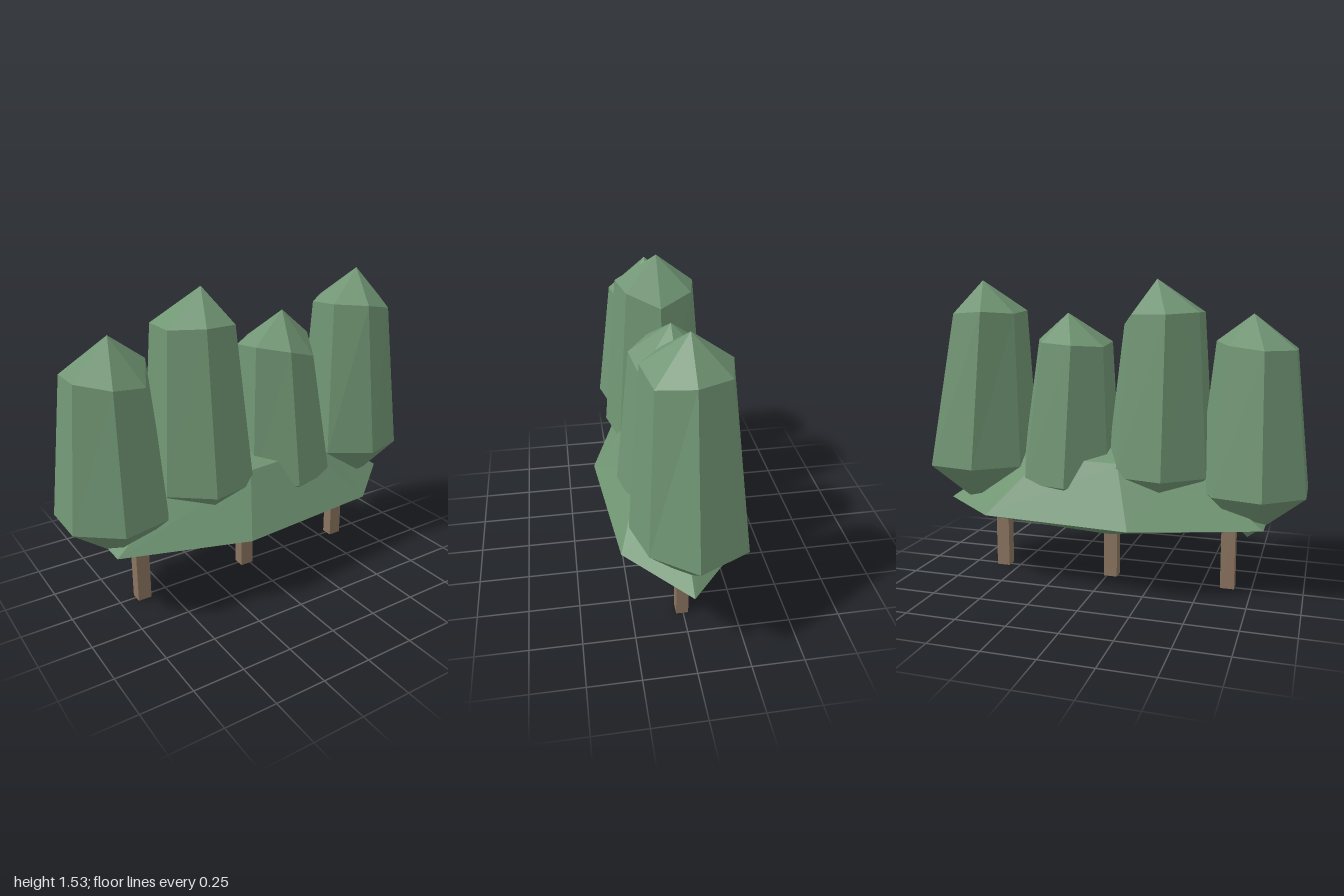
import * as THREE from 'three';

const SIDES = 7;

// Seven-sided faceted clump: bottom point, wide ring, shoulder ring, top point.
function clump(bottom, wide, shoulder, top) {
  const pos = [];
  const ring = (r) => Array.from({ length: SIDES }, (_, k) => {
    const a = (k / SIDES) * Math.PI * 2;
    const s = r.scale ? r.scale[k] : 1;
    return [r.x + Math.cos(a) * r.rx * s, Array.isArray(r.y) ? r.y[k] : r.y, Math.sin(a) * r.rz * s];
  });
  const lo = ring(wide), hi = ring(shoulder);
  for (let k = 0; k < SIDES; k++) {
    const n = (k + 1) % SIDES;
    pos.push(...bottom, ...lo[k], ...lo[n]);
    pos.push(...lo[k], ...hi[k], ...lo[n]);
    pos.push(...hi[k], ...hi[n], ...lo[n]);
    pos.push(...hi[k], ...top, ...hi[n]);
  }
  const g = new THREE.BufferGeometry();
  g.setAttribute('position', new THREE.Float32BufferAttribute(pos, 3));
  g.computeVertexNormals();
  return g;
}

export function createModel() {
  const group = new THREE.Group();
  const leaf = new THREE.MeshStandardMaterial({ color: 0x719674, flatShading: true });
  leaf.name = 'leaf green';
  const bark = new THREE.MeshStandardMaterial({ color: 0x8b7460, flatShading: true });
  bark.name = 'bark brown';

  const add = (name, geometry, material) => {
    const mesh = new THREE.Mesh(geometry, material);
    mesh.name = name;
    group.add(mesh);
    return mesh;
  };

  // Low, wide hedge body
  add('hedgeBase', clump(
    [0, 0.22, 0],
    { x: 0, y: 0.355, rx: 0.9, rz: 0.37 },
    { x: 0, y: 0.645, rx: 0.48, rz: 0.21 },
    [-0.02, 0.7, 0],
  ), leaf);

  // Four tall bushes, each with slightly uneven shoulders
  const bushes = [
    { x: -0.745, r: 0.28, low: 0.27, wide: 0.515, tx: -0.745, tr: 0.2, px: -0.72, top: 1.365,
      y: [1.235, 1.15, 1.175, 1.2, 1.2, 1.2, 1.22] },
    { x: -0.275, r: 0.28, low: 0.3, wide: 0.58, tx: -0.29, tr: 0.205, px: -0.25, top: 1.53,
      y: [1.31, 1.37, 1.38, 1.37, 1.37, 1.36, 1.36] },
    { x: 0.21, r: 0.27, low: 0.27, wide: 0.515, tx: 0.175, tr: 0.195, px: 0.21, top: 1.365,
      y: [1.23, 1.15, 1.2, 1.22, 1.2, 1.21, 1.22] },
    { x: 0.7, r: 0.3, low: 0.3, wide: 0.58, tx: 0.65, tr: 0.2, px: 0.68, top: 1.53,
      y: [1.365, 1.335, 1.37, 1.375, 1.36, 1.37, 1.36], scale: [1, 0.83, 0.88, 0.98, 0.98, 0.96, 1] },
  ];
  bushes.forEach((b, i) => add(`bush${i + 1}`, clump(
    [b.px, b.low, 0],
    { x: b.x, y: b.wide, rx: b.r, rz: b.r, scale: b.scale },
    { x: b.tx, y: b.y, rx: b.tr, rz: b.tr },
    [b.px, b.top, 0],
  ), leaf));

  // Three short square trunks
  [-0.63, -0.02, 0.59].forEach((x, i) => {
    add(`trunk${i + 1}`, new THREE.BoxGeometry(0.07, 0.35, 0.06), bark).position.set(x, 0.175, 0.005);
  });

  return group;
}
